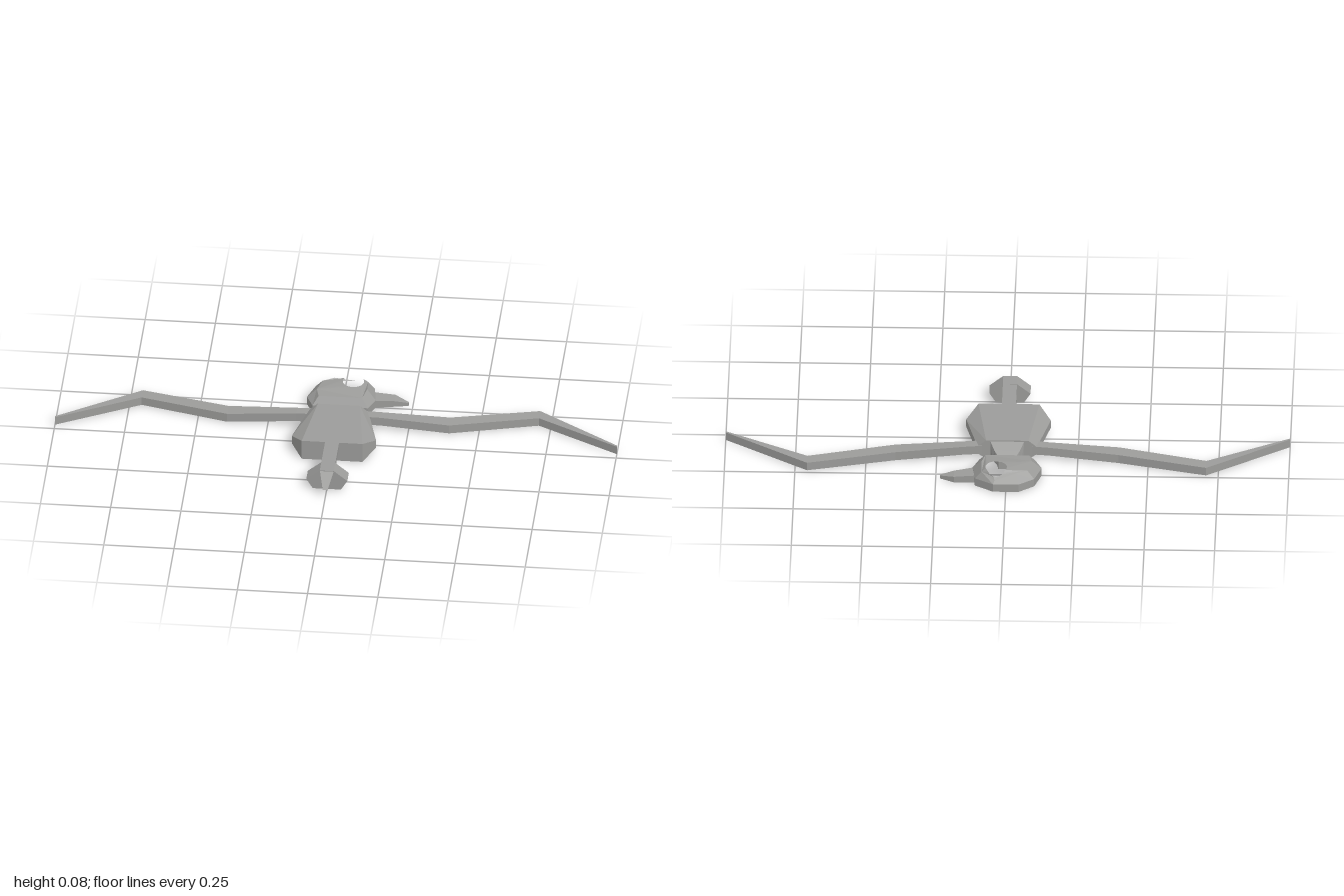
import * as THREE from 'three';
import { ConvexGeometry } from 'three/addons/geometries/ConvexGeometry.js';

const grey = new THREE.MeshStandardMaterial({ color: 0x9c9c9a });
grey.name = 'stoneGrey';
grey.flatShading = true;

// Faceted solid around a few corners [x, y, z]
function hull(name, corners) {
  const mesh = new THREE.Mesh(new ConvexGeometry(corners.map(c => new THREE.Vector3(...c))), grey);
  mesh.name = name;
  return mesh;
}

// Faceted solid between cross-sections, each { z, pts: [halfWidth, y] }, mirrored in x
function mirroredHull(name, sections) {
  return hull(name, sections.flatMap(s => s.pts.flatMap(([x, y]) => [[x, y, s.z], [-x, y, s.z]])));
}

// Head: an extruded outline with an eye hole, its upper level pulled in to a dome
function makeHead() {
  const outline = [[-0.125, -0.25], [-0.1, -0.325], [-0.045, -0.365], [0.045, -0.365],
    [0.11, -0.325], [0.12, -0.25], [0.097, -0.195], [-0.1, -0.195]];
  const crown = [[-0.09, 0.062, -0.255], [-0.075, 0.06, -0.315], [-0.035, 0.06, -0.338], [0.04, 0.04, -0.356],
    [0.086, 0.058, -0.325], [0.088, 0.065, -0.265], [0.075, 0.06, -0.213], [-0.08, 0.06, -0.213]];
  const eye = { x: 0.035, z: -0.308, r: 0.038 };
  const shape = new THREE.Shape(outline.map(([x, z]) => new THREE.Vector2(x, -z)));
  const hole = new THREE.Path();
  hole.absarc(eye.x, -eye.z, eye.r, 0, Math.PI * 2, true);
  shape.holes.push(hole);
  const geo = new THREE.ExtrudeGeometry(shape, { depth: 0.06, steps: 2, bevelEnabled: false, curveSegments: 16 });
  geo.rotateX(-Math.PI / 2);
  const p = geo.attributes.position;
  for (let i = 0; i < p.count; i++) {
    if (p.getY(i) < 0.045) continue;
    const x = p.getX(i), z = p.getZ(i);
    if (Math.hypot(x - eye.x, z - eye.z) < eye.r + 0.001) {
      p.setY(i, Math.min(0.068, 0.03 + (z + 0.365) * 1.05));
    } else {
      const k = outline.findIndex(o => Math.hypot(o[0] - x, o[1] - z) < 0.002);
      if (k >= 0) p.setXYZ(i, ...crown[k]);
    }
  }
  geo.computeVertexNormals();
  const head = new THREE.Mesh(geo, grey);
  head.name = 'head';
  return head;
}

// Beak: two tapering pieces pointing to the model's left
function makeBeak() {
  const beak = new THREE.Group();
  beak.name = 'beak';
  const cuts = [[0.1, 0.03, -0.305, -0.245], [0.185, 0.023, -0.305, -0.262], [0.235, 0.012, -0.279, -0.272]];
  for (let i = 0; i < 2; i++) {
    beak.add(hull('beakPiece', [cuts[i], cuts[i + 1]].flatMap(([x, h, z0, z1]) =>
      [[x, 0, z0], [x, h, z0], [x, 0, z1], [x, h, z1]])));
  }
  return beak;
}

// Wing: bent bar built from stations [x, bottom, top, back z, front z]
function makeWing(name, side) {
  const wing = new THREE.Group();
  wing.name = name;
  const stations = [[0.09, 0.02, 0.053, -0.14, -0.102], [0.15, 0.018, 0.05, -0.143, -0.105],
    [0.395, 0, 0.033, -0.158, -0.105], [0.707, 0, 0.031, -0.235, -0.187], [1, 0, 0.031, -0.034, -0.026]];
  for (let i = 0; i < stations.length - 1; i++) {
    wing.add(hull('wingSegment', [stations[i], stations[i + 1]].flatMap(([x, y0, y1, z0, z1]) =>
      [y0, y1].flatMap(y => [[side * x, y, z0], [side * x, y, z1]]))));
  }
  return wing;
}

export function createModel() {
  const bird = new THREE.Group();
  bird.name = 'bird';

  // Body with bevelled flanks
  bird.add(mirroredHull('body', [
    { z: -0.138, pts: [[0.075, 0], [0.075, 0.075], [0.105, 0.02], [0.105, 0.05]] },
    { z: 0.045, pts: [[0.15, 0.02], [0.15, 0.05]] },
    { z: 0.113, pts: [[0.108, 0], [0.108, 0.075]] },
  ]));

  // Neck stepping down to the head
  const neck = [
    { z: -0.135, pts: [[0.062, 0], [0.062, 0.075]] },
    { z: -0.155, pts: [[0.05, 0], [0.046, 0.045]] },
    { z: -0.18, pts: [[0.035, 0], [0.03, 0.03]] },
    { z: -0.21, pts: [[0.03, 0], [0.03, 0.03]] },
  ];
  for (let i = 0; i < 3; i++) bird.add(mirroredHull('neck', [neck[i], neck[i + 1]]));

  bird.add(makeHead(), makeBeak(), makeWing('leftWing', 1), makeWing('rightWing', -1));

  // Tail bar, crosspiece and pointed tip
  bird.add(mirroredHull('tailBar', [0.1, 0.29].map(z => ({ z, pts: [[0.025, 0.053], [0.025, 0.075]] }))));
  bird.add(mirroredHull('tailCrosspiece', [0.248, 0.303].map(z =>
    ({ z, pts: [[0.025, 0.0755], [0.073, 0.037], [0.05, 0]] }))));
  bird.add(mirroredHull('tailTip', [
    { z: 0.3, pts: [[0.025, 0.075], [0.018, 0.05]] },
    { z: 0.364, pts: [[0.009, 0.034], [0.009, 0.033]] },
  ]));
  return bird;
}
